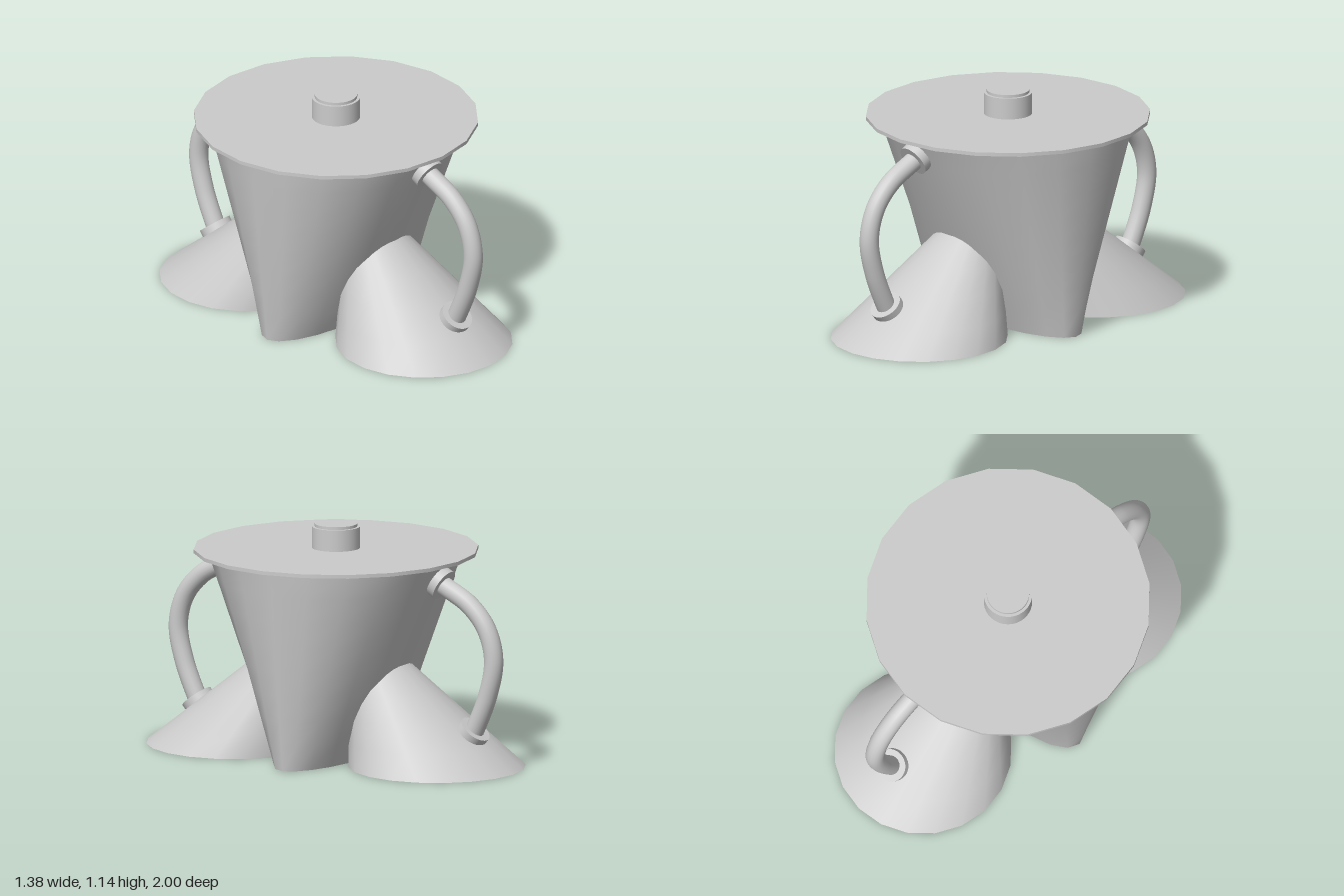
import * as THREE from 'three';
import { toCreasedNormals } from 'three/addons/utils/BufferGeometryUtils.js';

const material = new THREE.MeshStandardMaterial({ color: 0xcccccc });

function mesh(name, geometry) {
  const m = new THREE.Mesh(geometry, material);
  m.name = name;
  return m;
}

// Closed 20-sided loft between two ellipses { y, z, rx, rz }
function loft(bottom, top, rows) {
  const g = new THREE.CylinderGeometry(1, 1, 1, 20, rows);
  const p = g.attributes.position;
  for (let i = 0; i < p.count; i++) {
    const t = p.getY(i) + 0.5;
    const at = (key) => THREE.MathUtils.lerp(bottom[key], top[key], t);
    p.setXYZ(i, p.getX(i) * at('rx'), at('y'), at('z') + p.getZ(i) * at('rz'));
  }
  return toCreasedNormals(g, 1.1);
}

function cylinder(name, radius, y0, y1, sides) {
  const m = mesh(name, new THREE.CylinderGeometry(radius, radius, y1 - y0, sides));
  m.position.y = (y0 + y1) / 2;
  return m;
}

// Small round plate whose axis follows the given direction
function plate(name, y, z, dirY, dirZ) {
  const m = mesh(name, new THREE.CylinderGeometry(0.08, 0.08, 0.04, 32));
  m.position.set(0, y, z);
  m.quaternion.setFromUnitVectors(new THREE.Vector3(0, 1, 0), new THREE.Vector3(0, dirY, dirZ).normalize());
  return m;
}

// Slanted conical foot with its curved handle, on the +z side
function createSide(name) {
  const side = new THREE.Group();
  side.name = name;
  side.add(mesh('foot', loft(
    { y: 0, z: 0.57, rx: 0.43, rz: 0.43 },
    { y: 0.7, z: 0.099, rx: 0.012, rz: 0.012 }, 6)));

  const path = new THREE.CatmullRomCurve3([
    [0.91, 0.57], [0.88, 0.63], [0.81, 0.755], [0.70, 0.85], [0.55, 0.89],
    [0.37, 0.855], [0.18, 0.775], [0.15, 0.76],
  ].map(([y, z]) => new THREE.Vector3(0, y, z)));
  side.add(mesh('handle', new THREE.TubeGeometry(path, 40, 0.047, 20)));

  side.add(plate('upperHandlePlate', 0.903, 0.592, -0.5, 0.87));
  side.add(plate('lowerHandlePlate', 0.187, 0.775, 0.79, 0.62));
  return side;
}

export function createModel() {
  const model = new THREE.Group();
  model.name = 'lidded pot';

  // Body: narrow elliptical base widening to a round rim
  model.add(mesh('body', loft(
    { y: 0, z: 0, rx: 0.5, rz: 0.18 },
    { y: 1.002, z: 0, rx: 0.62, rz: 0.62 }, 8)));

  // Lid and stepped knob
  model.add(cylinder('lid', 0.69, 1.0, 1.018, 20));
  model.add(cylinder('knob', 0.117, 1.01, 1.123, 40));
  model.add(cylinder('knobTop', 0.103, 1.12, 1.137, 40));

  // Matching front and back feet and handles
  const front = createSide('frontSide');
  const back = createSide('backSide');
  back.rotation.y = Math.PI;
  model.add(front, back);
  return model;
}
